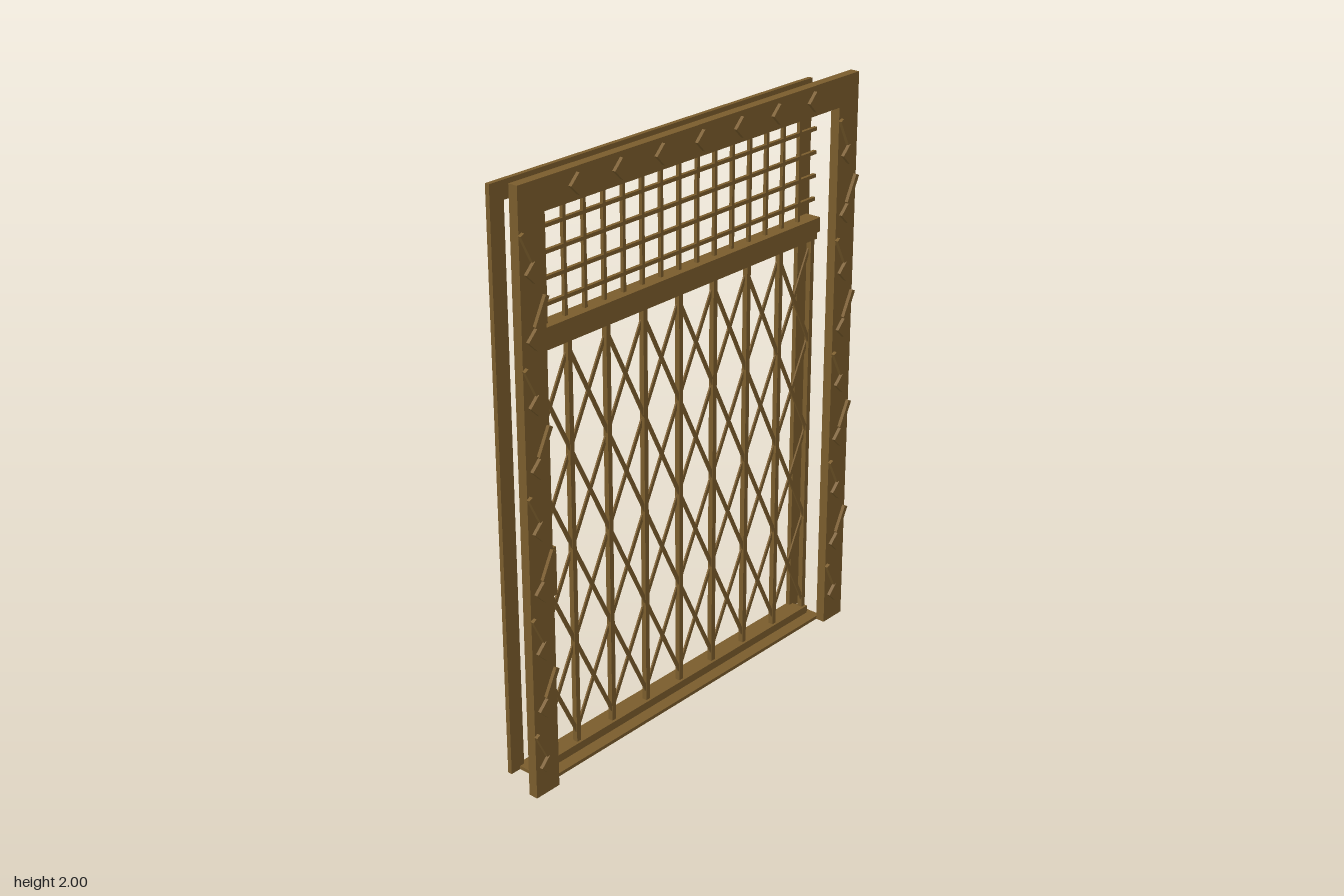
import * as THREE from 'three';

export function createModel() {
  const model = new THREE.Group();
  model.name = 'slidingLatticeGate';
  const bronze = new THREE.MeshStandardMaterial({ color: 0x7a5c2c });
  bronze.name = 'bronze';

  const group = (name) => {
    const g = new THREE.Group();
    g.name = name;
    model.add(g);
    return g;
  };
  const add = (parent, name, geometry, x, y, z, turn = 0) => {
    const m = new THREE.Mesh(geometry, bronze);
    m.name = name;
    m.position.set(x, y, z);
    m.rotation.z = turn;
    parent.add(m);
    return m;
  };
  const box = (parent, name, size, pos, turn = 0) =>
    add(parent, name, new THREE.BoxGeometry(...size), ...pos, turn);

  // Door surrounds: flat inverted U shapes
  const surround = (name, w, h, iw, ih, z, depth) => {
    const s = new THREE.Shape([
      [-w, 0], [-iw, 0], [-iw, ih], [iw, ih], [iw, 0], [w, 0], [w, h], [-w, h],
    ].map(([x, y]) => new THREE.Vector2(x, y)));
    add(model, name, new THREE.ExtrudeGeometry(s, { depth, bevelEnabled: false }), 0, 0, z);
  };
  surround('frontFrame', 0.782, 2, 0.682, 1.9, 0.047, 0.033);
  surround('backFrame', 0.738, 1.96, 0.682, 1.9, -0.092, 0.016);

  // Sill and guide tracks
  const gateZ = -0.013;
  box(model, 'sill', [1.4, 0.012, 0.139], [0, 0.006, -0.0225]);
  box(model, 'bottomTrack', [1.36, 0.028, 0.036], [0, 0.026, gateZ]);
  box(model, 'topTrack', [1.36, 0.03, 0.036], [0, 1.452, gateZ]);
  box(model, 'transom', [1.36, 0.05, 0.058], [0, 1.49, gateZ]);

  // Overhead grille
  const grille = group('overheadGrille');
  for (let i = -7; i <= 7; i++)
    box(grille, 'grilleUpright', [0.012, 0.39, 0.012], [i * 0.085, 1.705, gateZ]);
  for (const y of [1.574, 1.654, 1.734, 1.814])
    box(grille, 'grilleCrossbar', [1.36, 0.012, 0.012], [0, y, gateZ]);

  // Folding gate: uprights with crossed slats between them
  const gate = group('foldingGate');
  const step = 1 / 6, rise = 1 / 3;
  for (let i = -4; i <= 4; i++)
    box(gate, 'gateUpright', [0.018, 1.4, 0.018], [i * step * 1.003, 0.738, gateZ]);
  const slat = new THREE.BoxGeometry(0.013, Math.hypot(step, rise), 0.006);
  const lean = Math.atan2(step, rise);
  for (let i = 0; i < 8; i++)
    for (let j = 0; j < 4; j++)
      for (const s of [-1, 1])
        add(gate, 'latticeSlat', slat, (i - 3.5) * step, 0.07 + (j + 0.5) * rise,
          gateZ + s * 0.004, s * lean);

  // Lock case and its latch bolts
  const lock = group('lock');
  box(lock, 'lockCase', [0.037, 0.165, 0.086], [-0.636, 0.722, gateZ]);
  for (const y of [0.7, 0.755])
    box(lock, 'latchBolt', [0.022, 0.018, 0.02], [-0.662, y, gateZ]);

  // Raised diamonds and slanting leaves on the front frame
  const ornaments = group('frameOrnaments');
  const diamond = new THREE.BoxGeometry(0.048, 0.048, 0.012);
  const leaf = new THREE.BoxGeometry(0.016, 0.098, 0.012);
  const ornZ = 0.086;
  for (let i = -3; i <= 3; i++)
    add(ornaments, 'topDiamond', diamond, i * 0.182, 1.95, ornZ, Math.PI / 4);
  for (const side of [-1, 1])
    for (let i = 0; i < 9; i++) {
      const y = 1.735 - i * 0.2037, s = i % 2 ? 1 : -1;
      add(ornaments, 'sideDiamond', diamond, side * 0.732, y, ornZ, Math.PI / 4);
      add(ornaments, 'sideLeaf', leaf, side * 0.732 + s * 0.024, y + 0.08, ornZ, -s * 0.47);
    }
  return model;
}
